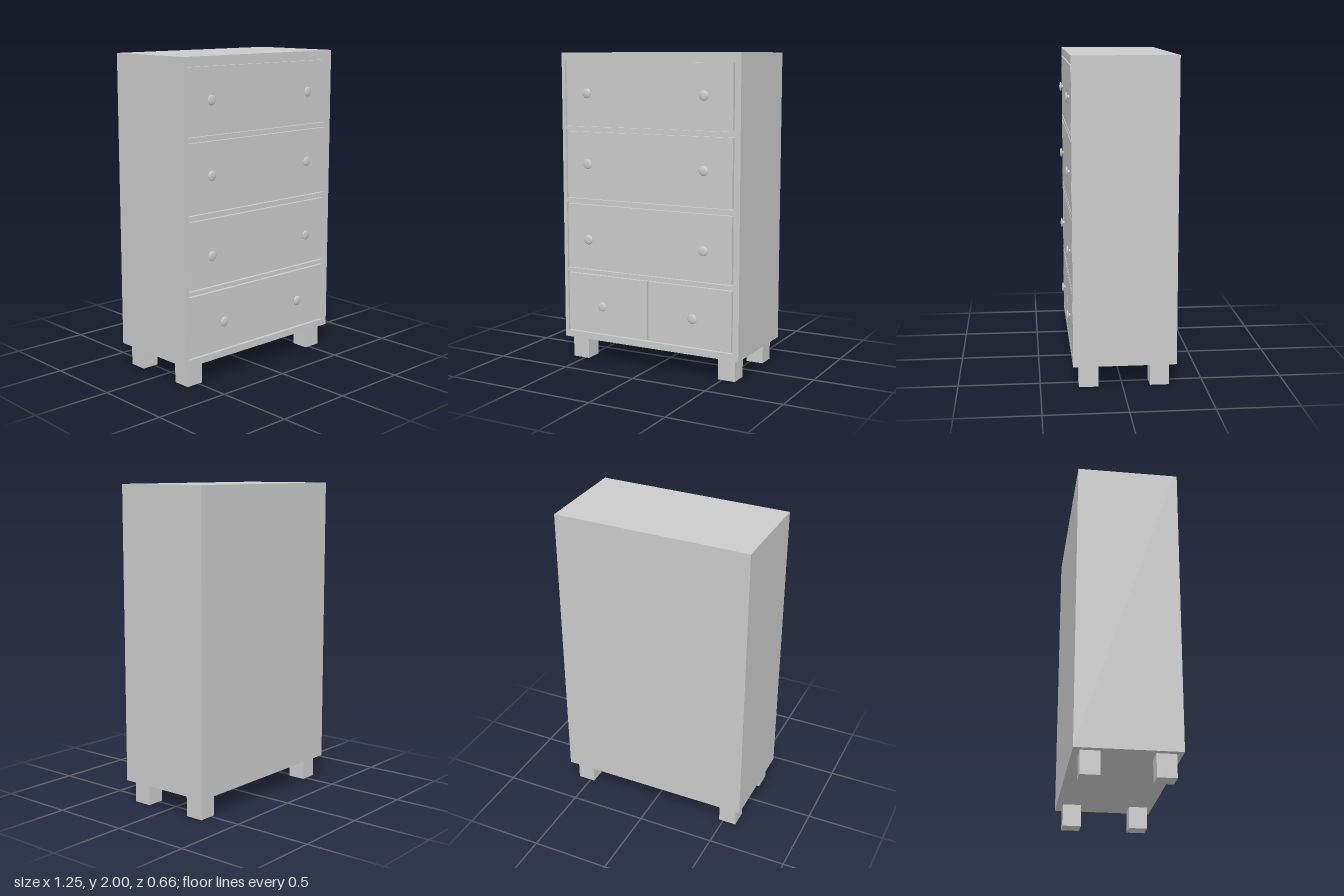
import * as THREE from 'three';

const material = new THREE.MeshStandardMaterial({ color: 0xcccccc });

// Cabinet extents
const HALF_W = 0.627, BOTTOM = 0.142, TOP = 2, BACK = -0.327, FRONT = 0.303;
const GROOVE = 0.01, DEPTH = 0.02;

// Drawer openings: [left, right, bottom, top]
const L = -0.602, R = 0.588;
const openings = [
  [L, R, 1.534, 1.95],
  [L, R, 1.069, 1.51],
  [L, R, 0.608, 1.042],
  [L, R, 0.185, 0.585],
];

function add(parent, name, geometry, x = 0, y = 0, z = 0) {
  const mesh = new THREE.Mesh(geometry, material);
  mesh.name = name;
  mesh.position.set(x, y, z);
  parent.add(mesh);
  return mesh;
}

function rectangle(PathType, [x0, x1, y0, y1]) {
  return new PathType([[x0, y0], [x1, y0], [x1, y1], [x0, y1]].map(p => new THREE.Vector2(...p)));
}

// Round stem with a flattened, domed head, turned to face forward
function knobGeometry() {
  const profile = [[0.011, 0], [0.011, 0.009]];
  for (let i = 0; i <= 12; i++) {
    const a = -Math.PI / 2 + 0.35 + (Math.PI - 0.35) * i / 12;
    profile.push([Math.max(0, 0.031 * Math.cos(a)), 0.0165 + 0.0085 * Math.sin(a)]);
  }
  return new THREE.LatheGeometry(profile.map(p => new THREE.Vector2(...p)), 32).rotateX(Math.PI / 2);
}

export function createModel() {
  const model = new THREE.Group();
  model.name = 'chestOfDrawers';

  // Solid carcass behind the front frame
  const carcassDepth = FRONT - DEPTH - BACK;
  add(model, 'carcass', new THREE.BoxGeometry(HALF_W * 2, TOP - BOTTOM, carcassDepth),
    0, (TOP + BOTTOM) / 2, BACK + carcassDepth / 2);

  // Front frame with an opening for each row of drawers
  const frame = rectangle(THREE.Shape, [-HALF_W, HALF_W, BOTTOM, TOP]);
  frame.holes = openings.map(o => rectangle(THREE.Path, o));
  add(model, 'frontFrame', new THREE.ExtrudeGeometry(frame, { depth: DEPTH, bevelEnabled: false }),
    0, 0, FRONT - DEPTH);

  // Flush drawer fronts, each surrounded by a narrow groove; the bottom row is split in two
  const knob = knobGeometry();
  openings.forEach(([x0, x1, y0, y1], row) => {
    const split = row === 3;
    const middle = -0.003;
    const spans = split
      ? [[x0 + GROOVE, middle - GROOVE / 2], [middle + GROOVE / 2, x1 - GROOVE]]
      : [[x0 + GROOVE, x1 - GROOVE]];
    for (const [a, b] of spans) {
      add(model, 'drawerFront', new THREE.BoxGeometry(b - a, y1 - y0 - 2 * GROOVE, DEPTH),
        (a + b) / 2, (y0 + y1) / 2, FRONT - DEPTH / 2);
    }
    const y = [1.745, 1.297, 0.808, 0.376][row];
    for (const x of split ? [-0.331, 0.32] : [-0.43, 0.392]) add(model, 'knob', knob, x, y, FRONT);
  });

  // Square block legs
  for (const x of [-0.53, 0.53]) {
    for (const z of [0.207, -0.227]) {
      add(model, 'leg', new THREE.BoxGeometry(0.115, BOTTOM, 0.118), x, BOTTOM / 2, z);
    }
  }
  return model;
}
